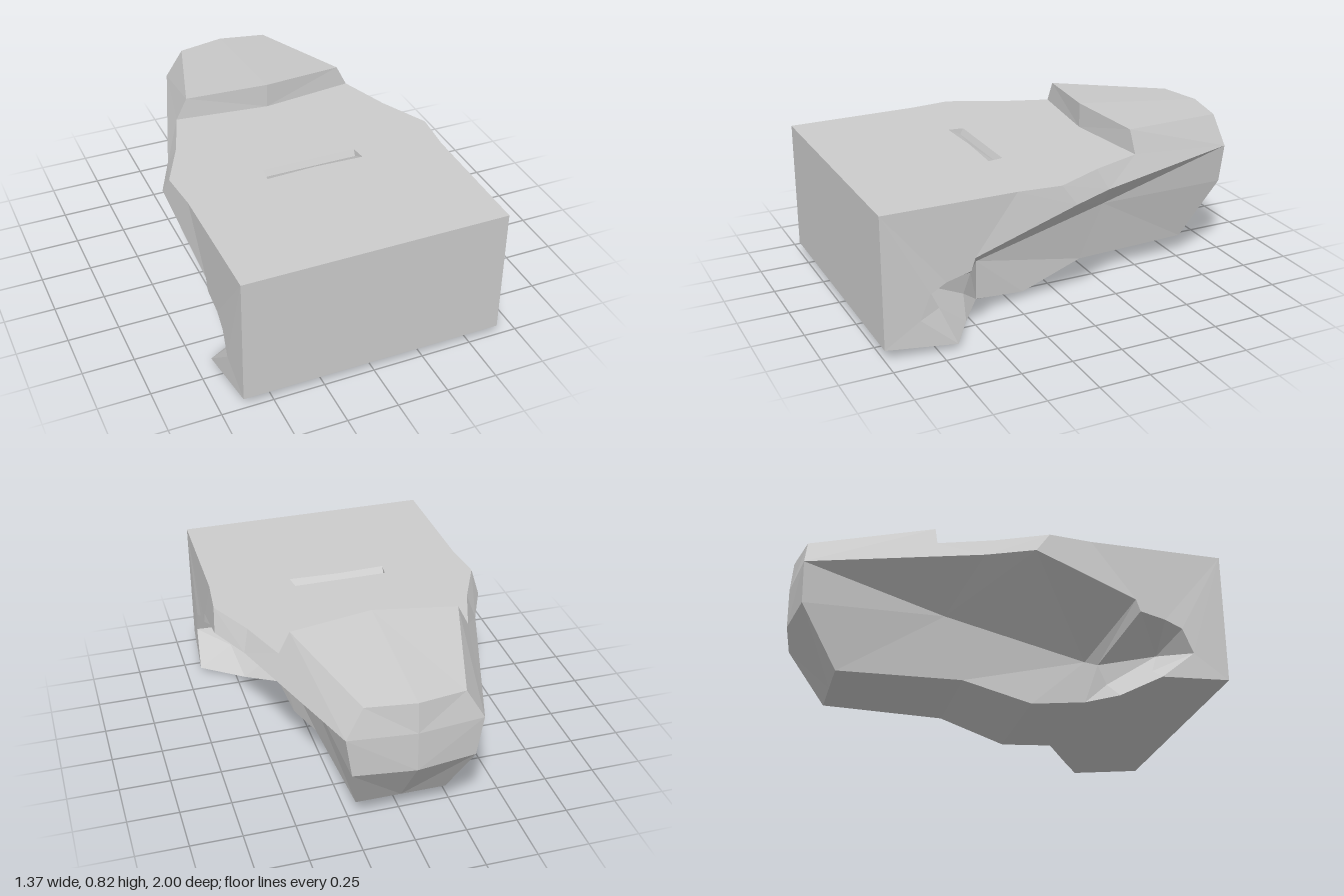
import * as THREE from 'three';

const material = new THREE.MeshStandardMaterial({ color: 0xcccccc, flatShading: true });

// Builds one part from convex panels on the +x half, mirrored to the -x half
function part(name, panels) {
  const pos = [];
  for (const p of panels) {
    for (let i = 1; i < p.length - 1; i++) {
      const tri = [p[0], p[i], p[i + 1]];
      for (const [x, y, z] of tri) pos.push(x, y, z);
      for (const [x, y, z] of tri.reverse()) pos.push(-x, y, z);
    }
  }
  const geometry = new THREE.BufferGeometry();
  geometry.setAttribute('position', new THREE.Float32BufferAttribute(pos, 3));
  geometry.computeVertexNormals();
  const mesh = new THREE.Mesh(geometry, material);
  mesh.name = name;
  return mesh;
}

// Point on the centre plane at the same height and depth
const mid = ([, y, z], dz = 0) => [0, y, z + dz];

export function createModel() {
  // Deck outline, front to back
  const T0 = [0.645, 0.7, 1], T1 = [0.65, 0.7, 0.35], T2 = [0.67, 0.7, 0.14];
  const T3 = [0.555, 0.7, -0.1], T4 = [0.465, 0.7, -0.355], Tc = [0, 0.7, -0.3];
  const B0 = [0.645, 0.055, 1];
  // Shoulder ridge
  const R1 = [0.685, 0.6, 0.07], R2 = [0.585, 0.6, -0.15], R3 = [0.32, 0.6, -0.965], Rc = [0, 0.6, -1];
  // Raised rear cover
  const H4 = [0.41, 0.808, -0.355], H5 = [0.235, 0.745, -0.945];
  const Hc = [0, 0.825, -0.3], Hr = [0, 0.75, -0.985];
  // Keel: upper edge, then lower edge
  const K1 = [0.31, 0.23, 0.41], K2 = [0.3, 0.4, -0.28], K3 = [0.29, 0.4, -0.96], Kc = [0, 0.4, -1];
  const G0 = [0.3, 0.025, 0.41], G1 = [0.28, 0, 0.15], G2 = [0.25, 0.1, -0.18], G3 = [0.22, 0.1, -0.78];
  // Rim of the side recess
  const S1 = [0.65, 0.42, 0.56], S2 = [0.65, 0.36, 0.58];
  const L1 = [0.65, 0.33, 0.7], L2 = [0.655, 0.29, 0.78], L3 = [0.655, 0.17, 0.83];
  const L4 = [0.675, 0.025, 0.66], L5 = [0.46, 0.008, 0.53];
  // Inner wall of the side recess
  const P1 = [0.455, 0.23, 0.72], P2 = [0.355, 0.2, 0.46], P3 = [0.5, 0.13, 0.68], P4 = [0.36, 0.1, 0.5];
  // Deck slot
  const V1 = [0.245, 0.7, 0.31], V2 = [0.235, 0.7, 0.235], W = [0.235, 0.67, 0.25];
  const slotFront = mid(V1, -0.01);

  const model = new THREE.Group();
  model.add(
    part('frontFace', [[mid(B0), B0, T0, mid(T0)]]),
    part('deck', [
      [mid(T0), T0, T1, V1, slotFront],
      [V1, T1, T2, V2],
      [mid(V2), V2, T2, T3, T4, Tc],
    ]),
    part('deckSlot', [
      [mid(W), W, V2, mid(V2)],
      [slotFront, V1, W, mid(W)],
      [V1, V2, W],
    ]),
    part('sideWalls', [
      [T0, B0, L3], [B0, L4, L3], [T0, L3, L2], [T0, L2, L1], [T0, L1, S2],
      [T0, S2, S1], [T0, S1, T1], [T1, S1, R1], [T1, R1, T2],
    ]),
    part('shoulders', [[T2, R1, R2], [T2, R2, T3], [T3, R2, T4], [T4, R2, R3]]),
    part('rearCover', [
      [Tc, T4, H4, Hc],
      [Hc, H4, H5, Hr],
      [H4, T4, R3], [H4, R3, H5],
    ]),
    part('undercut', [[S1, K1, R1], [R1, K1, K2], [R1, K2, R2], [R2, K2, R3], [K2, K3, R3]]),
    part('sideRecesses', [
      [S1, S2, P2, K1],
      [S2, L1, P1, P2],
      [L1, L2, P1], [L2, L3, P1], [L3, P3, P1],
      [L3, L4, P3], [L4, L5, P3],
      [P1, P3, P4, P2],
      [P3, L5, P4], [L5, G0, P4], [P2, P4, G0, K1],
    ]),
    part('keelSides', [[K1, G0, G1], [K1, G1, G2], [K1, G2, K2], [K2, G2, G3], [K2, G3, K3]]),
    part('underside', [
      [mid(B0), mid(G0), G0, L5, L4, B0],
      [mid(G0), mid(G1), G1, G0],
      [mid(G1), mid(G2), G2, G1],
      [mid(G2), mid(G3), G3, G2],
    ]),
    part('rearFace', [
      [H5, R3, Rc, Hr],
      [R3, K3, Kc, Rc],
      [K3, G3, mid(G3), Kc],
    ]),
  );
  return model;
}
